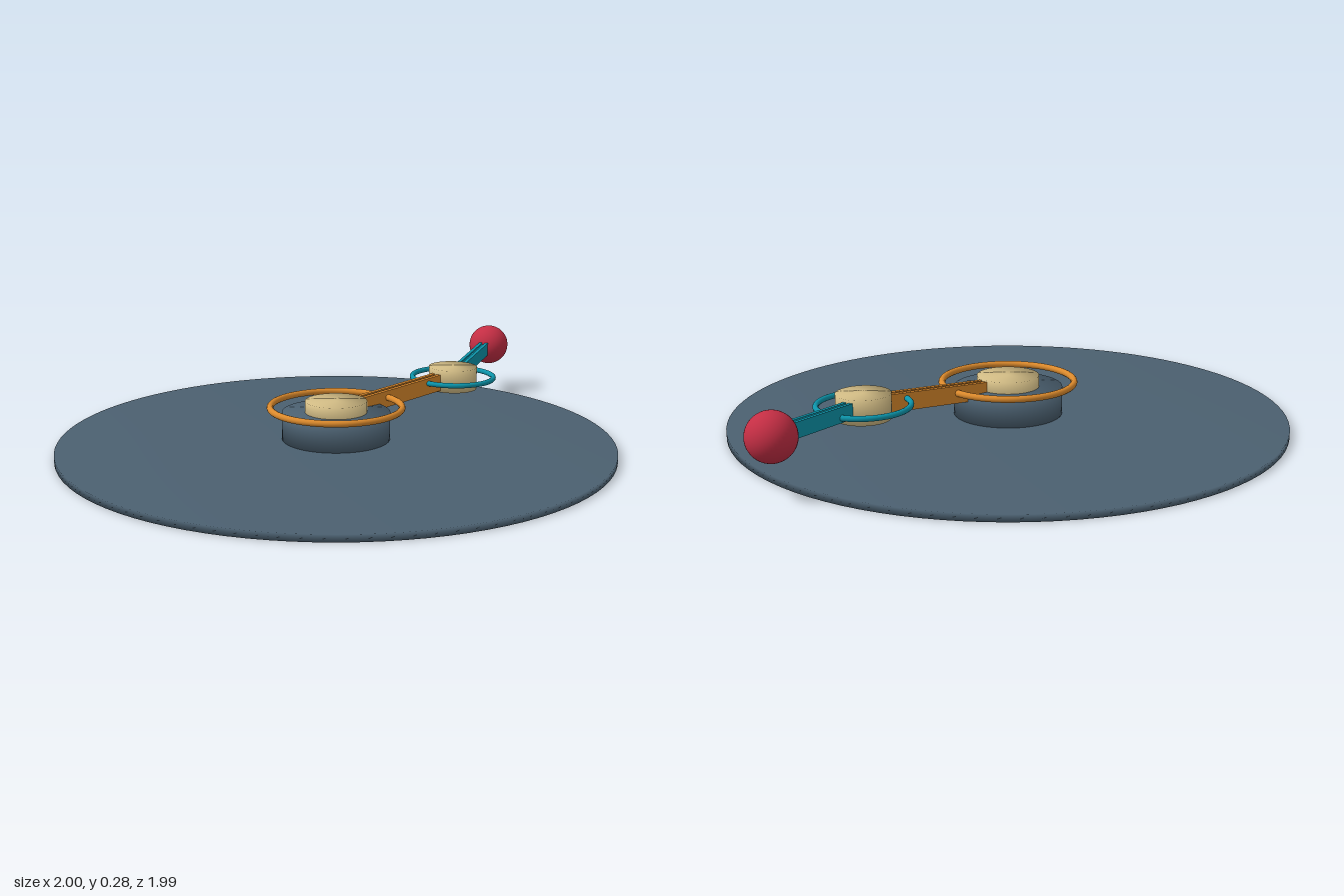
import * as THREE from 'three';
import { mergeVertices } from 'three/addons/utils/BufferGeometryUtils.js';

const paint = (color) => new THREE.MeshStandardMaterial({ color });
const slate = paint(0x4b6070), sand = paint(0xd2bc85), orange = paint(0xdc8a2c);
const teal = paint(0x0c94aa), red = paint(0xc42e44);

// Upright cylinder between two heights, its normals blended over the rim
function drum(radius, bottom, top, segments = 64) {
  let geo = new THREE.CylinderGeometry(radius, radius, top - bottom, segments);
  geo.deleteAttribute('normal');
  geo.deleteAttribute('uv');
  geo = mergeVertices(geo, 1e-5);
  geo.computeVertexNormals();
  return geo.translate(0, (bottom + top) / 2, 0);
}

// Straight bar with a shallow groove along its top and underside
function armGeometry(width, height, length) {
  const w = width / 2, h = height / 2, g = width / 7, d = 0.006;
  const half = [[w, -h], [w, h], [g, h], [g, h - d], [-g, h - d], [-g, h]];
  const section = [...half, ...half.map(([x, y]) => [-x, -y])];
  const shape = new THREE.Shape(section.map(([x, y]) => new THREE.Vector2(x, y)));
  return new THREE.ExtrudeGeometry(shape, { depth: length, bevelEnabled: false });
}

export function createModel() {
  const model = new THREE.Group();
  const add = (name, geometry, material, position) => {
    const mesh = new THREE.Mesh(geometry, material);
    mesh.name = name;
    mesh.position.copy(position);
    model.add(mesh);
    return mesh;
  };

  // Joint centres along the linkage
  const centre = new THREE.Vector3(-0.005, 0, 0);
  const shoulder = new THREE.Vector3(-0.005, 0.12, 0);
  const elbow = new THREE.Vector3(0.566, 0.158, -0.19);
  const tip = new THREE.Vector3(0.92, 0.195, -0.537);

  // Base plate and raised hub
  add('basePlate', drum(0.995, 0, 0.024, 96), slate, centre);
  add('hub', drum(0.195, 0.02, 0.122), slate, centre);

  // Bearings
  add('shoulderBearing', drum(0.112, -0.043, 0.043), sand, shoulder);
  add('elbowBearing', drum(0.093, -0.043, 0.043), sand, elbow);

  // Arms from joint to joint
  const addArm = (name, from, to, width, height, material) =>
    add(name, armGeometry(width, height, from.distanceTo(to)), material, from).lookAt(to);
  addArm('lowerArm', shoulder, elbow, 0.044, 0.062, orange);
  addArm('upperArm', elbow, tip, 0.037, 0.052, teal);

  // Flat rings around the joints
  const addRing = (name, joint, y, radius, tube, material) => {
    const geo = new THREE.TorusGeometry(radius, tube, 12, 72).rotateX(Math.PI / 2);
    add(name, geo, material, new THREE.Vector3(joint.x, y, joint.z));
  };
  addRing('shoulderRing', shoulder, 0.14, 0.237, 0.012, orange);
  addRing('elbowRing', elbow, 0.16, 0.157, 0.01, teal);

  // Ball at the end of the arm
  add('endBall', new THREE.SphereGeometry(0.08, 40, 28), red, tip);

  return model;
}
